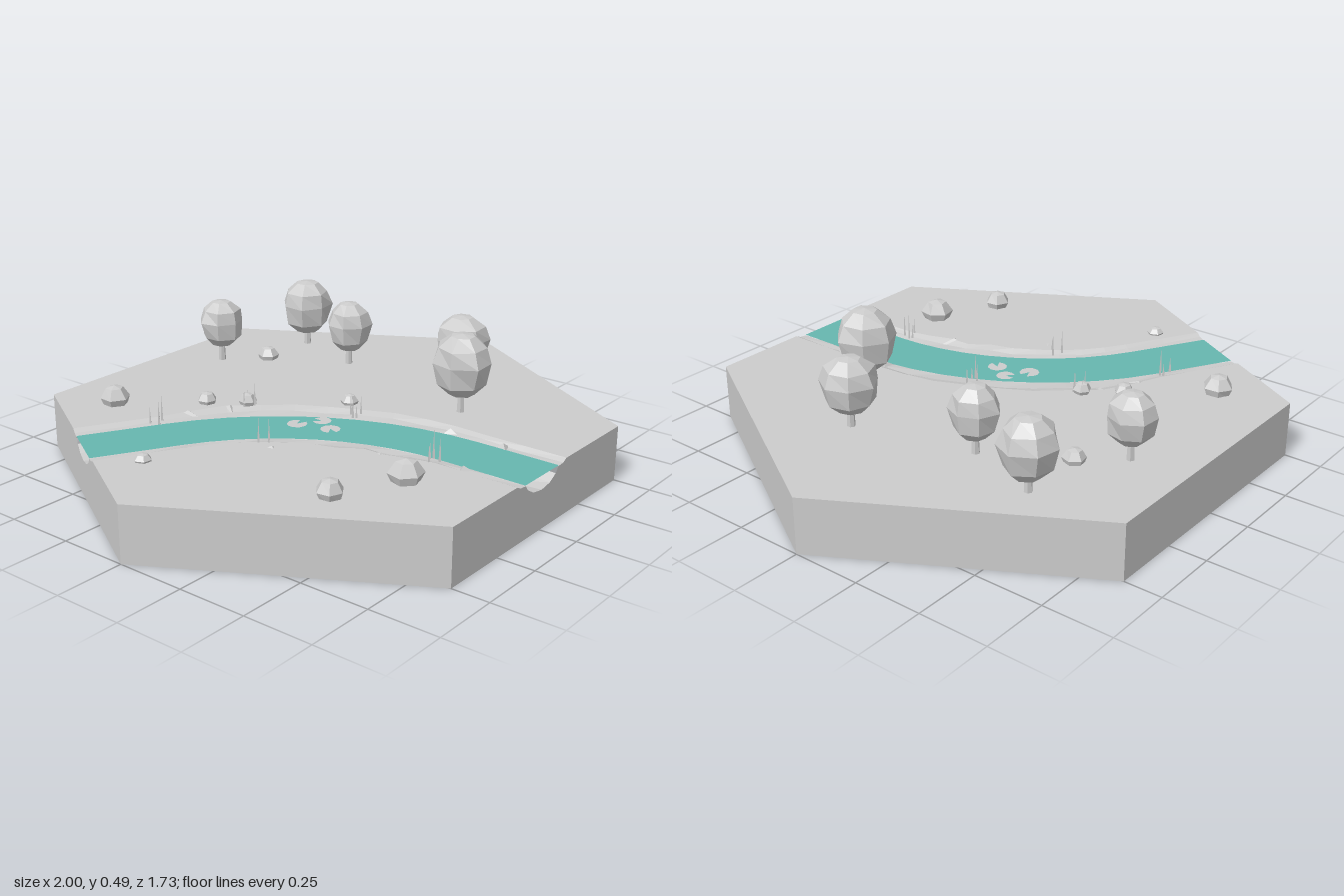
import * as THREE from 'three';

const grey = new THREE.MeshStandardMaterial({ color: 0xcccccc, flatShading: true, side: THREE.DoubleSide });
grey.name = 'stone grey';
const teal = new THREE.MeshStandardMaterial({ color: 0x66b7af, flatShading: true, side: THREE.DoubleSide });
teal.name = 'river teal';

const TOP = 0.2, APOTHEM = Math.sqrt(3) / 2;

// River course: straight, 60 degree bend, straight. Each station has a centre and a sideways direction.
const T = 0.56, R = T * Math.sqrt(3), BEND = 10;
const stations = [];
const addStation = (a, ahead) => stations.push({
  x: -R + R * Math.cos(a) - Math.sin(a) * ahead,
  z: T - R * Math.sin(a) - Math.cos(a) * ahead,
  sx: Math.cos(a), sz: -Math.sin(a),
});
const RUN = APOTHEM - T;
addStation(0, -RUN);
addStation(0, -RUN / 2);
for (let i = 0; i <= BEND; i++) addStation(i / BEND * Math.PI / 3, 0);
addStation(Math.PI / 3, RUN / 2);
addStation(Math.PI / 3, RUN);
const LAST = stations.length - 1;

// How far each bank wanders outwards along the bend
const wander = [
  [0, 0, 0, 0.015, 0.03, 0.01, 0.03, 0.015, 0.01, 0.005, 0, 0, 0, 0, 0],
  [0, 0, 0, 0.01, 0.02, 0.03, 0.025, 0.03, 0.04, 0.035, 0.045, 0.02, 0, 0, 0],
];
const edge = (i, side) => side * (0.15 + wander[side > 0 ? 1 : 0][i]);
const at = (i, u, y) => {
  const s = stations[i];
  return [s.x + s.sx * u, y, s.z + s.sz * u];
};

function mesh(name, geometry, material = grey) {
  const m = new THREE.Mesh(geometry, material);
  m.name = name;
  return m;
}

// Sweep a cross-section, listed from left to right as [offset, height], along the river
function sweep(name, section, material) {
  const rows = stations.map((_, i) => section(i).map(([u, y]) => at(i, u, y)));
  const n = rows[0].length, index = [];
  for (let i = 0; i < LAST; i++) for (let j = 0; j < n - 1; j++) {
    const a = i * n + j, c = a + n;
    index.push(a, a + 1, c, a + 1, c + 1, c);
  }
  const g = new THREE.BufferGeometry();
  g.setAttribute('position', new THREE.Float32BufferAttribute(rows.flat(2), 3));
  g.setIndex(index);
  const flat = g.toNonIndexed();
  flat.computeVertexNormals();
  return mesh(name, flat, material);
}

// Ground on one side of the river
function ground(name, side, corners) {
  const bank = stations.map((_, i) => at(i, edge(i, side), 0));
  const pts = [...bank.map(p => [p[0], p[2]]), ...corners];
  const g = new THREE.ShapeGeometry(new THREE.Shape(pts.map(([x, z]) => new THREE.Vector2(x, -z))));
  g.rotateX(-Math.PI / 2).translate(0, TOP, 0);
  return mesh(name, g);
}

// Half of the channel profile, from the bank edge to the middle
const channel = [[0.15, TOP], [0.13, 0.19], [0.1, 0.187], [0.085, 0.168], [0.05, 0.148], [0, 0.14]];

function wall(i) {
  const s = new THREE.Shape();
  s.moveTo(-0.5, 0).lineTo(0.5, 0).lineTo(0.5, TOP);
  if (i === 0 || i === 4) {
    channel.forEach(([x, y]) => s.lineTo(x, y));
    channel.slice(0, -1).reverse().forEach(([x, y]) => s.lineTo(-x, y));
  }
  s.lineTo(-0.5, TOP);
  return mesh('sideWall', new THREE.ShapeGeometry(s).translate(0, 0, APOTHEM).rotateY(i * Math.PI / 3));
}

// Faceted round form with slightly uneven radius
function lump(name, profile, sides, seed) {
  const g = new THREE.LatheGeometry(profile.map(([r, y]) => new THREE.Vector2(r, y)), sides);
  const p = g.attributes.position;
  for (let i = 0; i < p.count; i++) {
    const x = p.getX(i), y = p.getY(i), z = p.getZ(i);
    const k = 1 + 0.05 * Math.sin(35 * x + 50 * y + 2 * seed) + 0.04 * Math.sin(45 * z + seed);
    p.setXYZ(i, x * k, y, z * k);
  }
  g.computeVertexNormals();
  const m = mesh(name, g);
  m.rotation.y = seed * 1.7;
  return m;
}

function tree(x, z, r, bottom, top, seed) {
  const t = new THREE.Group();
  t.name = 'tree';
  const h = top - bottom;
  const trunk = mesh('trunk', new THREE.CylinderGeometry(0.011, 0.015, bottom - 0.17, 6));
  trunk.position.y = (bottom + 0.02 + 0.19) / 2;
  const crown = lump('crown', [[0, 0], [0.45 * r, 0.02 * h], [0.85 * r, 0.2 * h], [r, 0.55 * h],
    [0.85 * r, 0.8 * h], [0.42 * r, 0.97 * h], [0, h]], 7, seed);
  crown.position.y = bottom;
  t.add(trunk, crown);
  t.position.set(x, 0, z);
  return t;
}

export function createModel() {
  const model = new THREE.Group();
  model.name = 'riverTile';

  // Hollow hexagonal tile
  const base = new THREE.Group();
  base.name = 'base';
  for (let i = 0; i < 6; i++) base.add(wall(i));
  base.add(ground('leftGround', 1, [[-0.5, -APOTHEM], [0.5, -APOTHEM], [1, 0], [0.5, APOTHEM]]));
  base.add(ground('rightGround', -1, [[-1, 0], [-0.5, APOTHEM]]));
  model.add(base);

  // River channel
  const rough = i => (i === 0 || i === LAST ? 0 : 0.008 * Math.sin(i * 4.3));
  const bank = (i, side) => {
    const pts = [[edge(i, side), TOP], [side * (0.13 + wander[side > 0 ? 1 : 0][i] * 0.6), 0.19 + rough(i) * 0.4],
      [side * 0.1, 0.187]];
    return side > 0 ? pts.reverse() : pts;
  };
  model.add(sweep('leftBank', i => bank(i, 1), grey));
  model.add(sweep('rightBank', i => bank(i, -1), grey));
  const half = channel.slice(3);
  model.add(sweep('riverBed', i => [
    ...half.map(([u, y]) => [-u, y + rough(i)]),
    ...half.slice(0, -1).reverse().map(([u, y]) => [u, y - rough(i)]),
  ], grey));
  model.add(sweep('water', () => [[-0.102, 0.19], [0.102, 0.19]], teal));

  // Stones set into the banks
  [[0.115, 0.44, 0.035], [0.115, 0.65, 0.03], [-0.12, 0.65, 0.03], [-0.38, 0.07, 0.06],
    [-0.2, 0.38, 0.055], [-0.32, -0.37, 0.055], [-0.19, -0.29, 0.04]].forEach(([x, z, r], i) => {
    const stone = mesh('bankStone', new THREE.ConeGeometry(r, 0.02, 3));
    stone.position.set(x, 0.195, z);
    stone.rotation.y = i * 1.3;
    model.add(stone);
  });

  // Trees
  [[0.17, -0.66, 0.085, 0.26, 0.437], [0.53, -0.53, 0.1, 0.25, 0.457], [0.44, -0.25, 0.083, 0.255, 0.443],
    [0.55, 0.19, 0.098, 0.255, 0.45], [0.28, 0.37, 0.105, 0.262, 0.485]]
    .forEach((t, i) => model.add(tree(...t, i + 1)));

  // Rocks
  [[-0.42, -0.63, 0.053, 0.267], [0.29, -0.53, 0.04, 0.247], [-0.21, -0.38, 0.036, 0.24],
    [-0.13, -0.26, 0.032, 0.24], [0.1, 0.02, 0.032, 0.235], [-0.56, 0.46, 0.048, 0.26],
    [-0.32, 0.57, 0.058, 0.275], [-0.72, -0.18, 0.03, 0.225]].forEach(([x, z, r, top], i) => {
    const h = top - 0.19;
    const rock = lump('rock', [[0, 0], [0.75 * r, 0], [r, 0.45 * h], [0.6 * r, 0.9 * h], [0, h]], 6, i);
    rock.position.set(x, 0.19, z);
    model.add(rock);
  });

  // Clumps of reeds
  [[-0.45, -0.39, 0.1], [-0.13, -0.25, 0.09], [0.03, 0.1, 0.1], [-0.35, 0.015, 0.09], [-0.13, 0.54, 0.11]]
    .forEach(([x, z, h], c) => {
      for (let k = 0; k < 4; k++) {
        const tall = h * (1 - 0.17 * k);
        const reed = mesh('reed', new THREE.ConeGeometry(0.005, tall, 4));
        const a = c * 1.4 + k * 1.9;
        reed.position.set(x + 0.025 * Math.cos(a), 0.195 + tall / 2, z + 0.02 * Math.sin(a));
        model.add(reed);
      }
    });

  // Notched lily pads
  [[-0.155, -0.01, 0.036], [-0.08, 0.04, 0.033], [-0.122, 0.11, 0.035]].forEach(([x, z, r], i) => {
    const pad = mesh('lilyPad', new THREE.CircleGeometry(r, 9, 0.4 + i * 2, 5.5).rotateX(-Math.PI / 2));
    pad.position.set(x, 0.194, z);
    model.add(pad);
  });

  return model;
}
